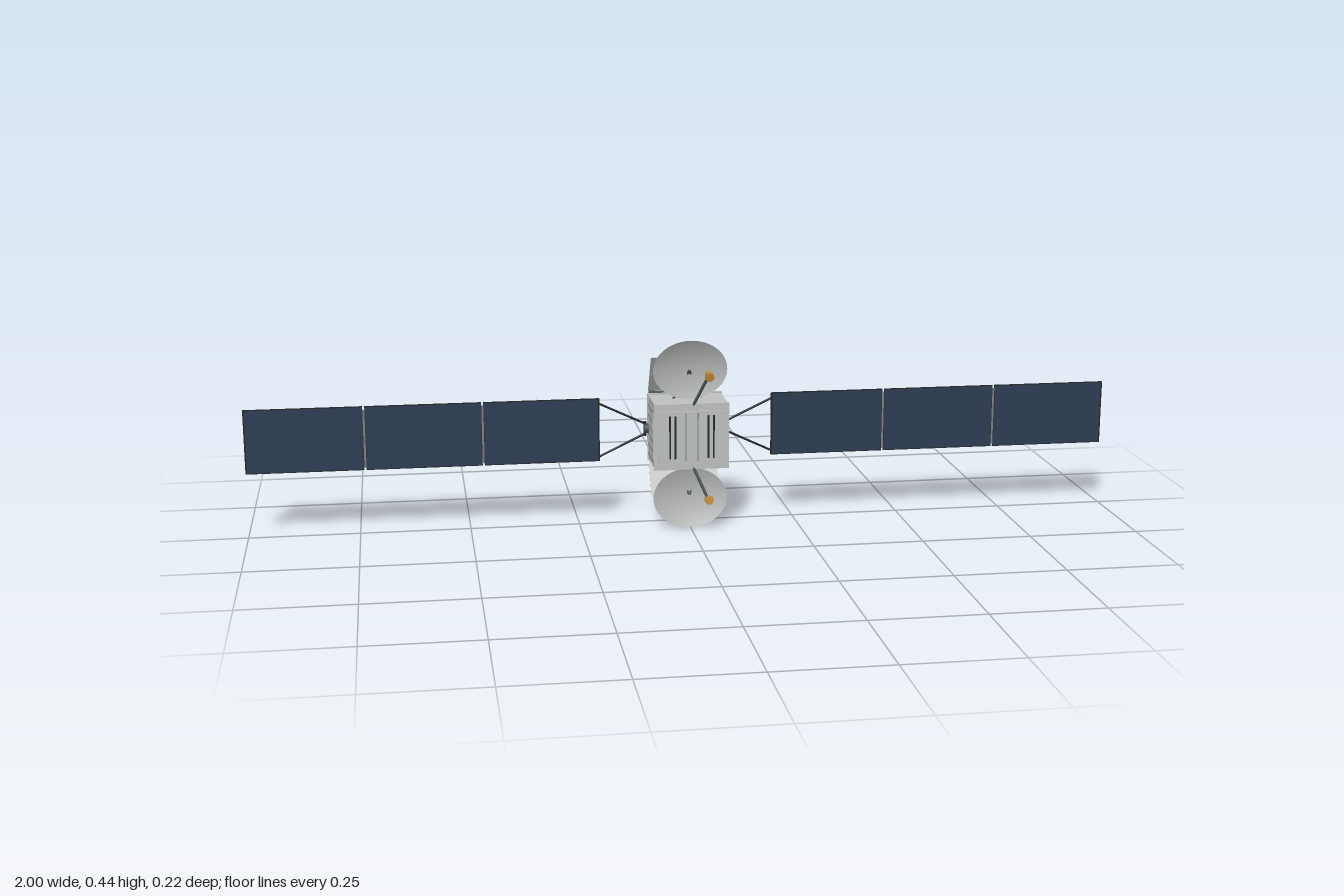
import * as THREE from 'three';

const mat = (name, color, side = THREE.FrontSide) => {
  const m = new THREE.MeshStandardMaterial({ color, side });
  m.name = name;
  return m;
};

export function createModel() {
  const hull = mat('hull grey', 0xbfc2c0);
  const dishGrey = mat('dish grey', 0xb6b7b7, THREE.DoubleSide);
  const seam = mat('seam grey', 0x7c8184);
  const dark = mat('dark slate', 0x4b5356);
  const black = mat('frame black', 0x24272a);
  const navy = mat('cell navy', 0x2d3c53);
  const backGrey = mat('array back grey', 0x747b80);
  const gold = mat('horn gold', 0xc08a3c);
  const ringGrey = mat('ring grey', 0x737c84);

  const model = new THREE.Group();
  const C = 0.2185; // height of the centre line
  const AZ = -0.0125; // depth of the solar arrays

  const add = (name, geo, material, parent = model) => {
    const mesh = new THREE.Mesh(geo, material);
    mesh.name = name;
    parent.add(mesh);
    return mesh;
  };
  const box = (name, material, size, pos, parent = model) => {
    const mesh = add(name, new THREE.BoxGeometry(...size), material, parent);
    mesh.position.set(...pos);
    return mesh;
  };
  // Tapered round bar from a to b
  const rod = (name, material, a, b, r0, r1 = r0, parent = model, sides = 10) => {
    const p = new THREE.Vector3(...a), q = new THREE.Vector3(...b);
    const d = q.clone().sub(p);
    const mesh = add(name, new THREE.CylinderGeometry(r1, r0, d.length(), sides), material, parent);
    mesh.position.copy(p).add(q).multiplyScalar(0.5);
    mesh.quaternion.setFromUnitVectors(new THREE.Vector3(0, 1, 0), d.normalize());
    return mesh;
  };

  // Main body with raised rims at both ends
  box('body', hull, [0.168, 0.15, 0.11], [0, C, 0.024]);
  box('frontRim', hull, [0.172, 0.153, 0.005], [0, C, 0.078]);
  box('rearRim', hull, [0.174, 0.157, 0.005], [0, C, -0.03]);
  box('frontPanel', hull, [0.15, 0.12, 0.004], [0, C, 0.0825]);
  for (const x of [-0.05, -0.038, 0.038, 0.05]) {
    box('frontLouvre', black, [0.004, 0.1, 0.002], [x, C, 0.0845]);
  }
  for (const x of [-0.014, 0.014]) {
    box('frontSeam', seam, [0.0025, 0.112, 0.002], [x, C, 0.0845]);
  }

  // Service box and docking ring at the back
  box('rearBox', dark, [0.15, 0.137, 0.071], [0, C, -0.0665]);
  const ringProfile = [[0.04, 0], [0.058, 0], [0.055, 0.003], [0.055, 0.007], [0.058, 0.008],
    [0.058, 0.0105], [0.042, 0.0105], [0.04, 0]];
  const ringGeo = new THREE.LatheGeometry(ringProfile.map(([r, y]) => new THREE.Vector2(r, y)), 40);
  ringGeo.rotateX(-Math.PI / 2);
  const ringMat = ringGrey.clone();
  ringMat.side = THREE.DoubleSide;
  add('dockingRing', ringGeo, ringMat).position.set(0, C, -0.101);
  const nozzle = add('ringCentre', new THREE.CylinderGeometry(0.026, 0.026, 0.004, 32), black);
  nozzle.rotation.x = Math.PI / 2;
  nozzle.position.set(0, C, -0.103);

  // Solar wings with side panels and yokes
  for (const s of [1, -1]) {
    const wing = new THREE.Group();
    wing.name = s > 0 ? 'leftWing' : 'rightWing';
    model.add(wing);

    box('sidePanel', hull, [0.004, 0.116, 0.076], [s * 0.085, C, 0.027], wing);
    for (let i = 0; i < 6; i++) {
      box('sideSeam', seam, [0.003, 0.0025, 0.076], [s * 0.0865, C - 0.057 + i * 0.0228, 0.027], wing);
    }
    rod('hub', dark, [s * 0.08, C, AZ], [s * 0.097, C, AZ], 0.011, 0.011, wing, 20);
    box('hubBar', black, [0.006, 0.034, 0.006], [s * 0.095, C, AZ], wing);

    for (const v of [1, -1]) {
      rod('yokeArm', black, [s * 0.095, C + v * 0.012, AZ], [s * 0.202, C + v * 0.063, AZ], 0.0025, 0.0025, wing);
    }

    for (let i = 0; i < 3; i++) {
      const x = s * (0.2 + 0.8 / 6 + i * 0.8 / 3);
      box('panelFrame', black, [0.262, 0.148, 0.004], [x, C + 0.001, AZ], wing);
      box('solarCells', navy, [0.26, 0.144, 0.001], [x, C + 0.001, AZ + 0.002], wing);
      box('panelBack', backGrey, [0.257, 0.142, 0.001], [x, C + 0.001, AZ - 0.002], wing);
      for (const v of [1, -1]) {
        for (let k = 0; k < 12; k++) {
          box('backDash', dark, [0.011, 0.002, 0.001],
            [x + (k - 5.5) * 0.0205, C + 0.001 + v * 0.055, AZ - 0.0024], wing);
        }
      }
      if (i < 2) {
        for (const v of [-0.045, 0, 0.045]) {
          box('panelHinge', seam, [0.006, 0.045, 0.003], [s * (0.2 + (i + 1) * 0.8 / 3), C + v, AZ], wing);
        }
      }
    }
    // Outer and inner edge strips
    box('outerEdge', black, [0.003, 0.148, 0.004], [s * 0.9985, C + 0.001, AZ], wing);
    box('innerEdge', black, [0.004, 0.148, 0.005], [s * 0.202, C + 0.001, AZ], wing);
  }

  // Shallow elliptical dish, opening forward
  const R = 0.085, depth = 0.0145;
  const bowl = Array.from({ length: 11 }, (_, i) => new THREE.Vector2(R * i / 10, depth * ((i / 10) ** 2 - 1)));
  const dishGeo = new THREE.LatheGeometry(bowl, 48);
  dishGeo.rotateX(Math.PI / 2);
  dishGeo.scale(1, 0.0692 / R, 1);

  // Upper and lower antennas and sloping radiators
  for (const s of [1, -1]) {
    const unit = new THREE.Group();
    unit.name = s > 0 ? 'upperAntenna' : 'lowerAntenna';
    model.add(unit);
    const y = (h) => C + s * h;

    const dish = add('dish', dishGeo, dishGrey, unit);
    dish.position.set(0, y(0.1497), 0.0577);
    dish.rotation.x = s * 0.105;

    for (const side of [1, -1]) {
      rod('dishStrut', dark, [side * 0.032, y(0.074), 0.011], [0, y(0.146), 0.044], 0.003, 0.003, unit);
    }

    rod('hornArm', dark, [0.004, y(0.072), 0.077], [0.034, y(0.141), 0.098], 0.0035, 0.0035, unit);
    rod('feedHorn', gold, [0.036, y(0.1465), 0.0875], [0.036, y(0.1425), 0.111], 0.0075, 0.0105, unit, 20);

    for (const side of [1, -1]) {
      const plate = box('radiatorPlate', hull, [0.079, 0.104, 0.0025], [side * 0.0402, y(0.1215), -0.0425], unit);
      plate.rotation.x = s * 0.555;
    }
  }

  return model;
}
